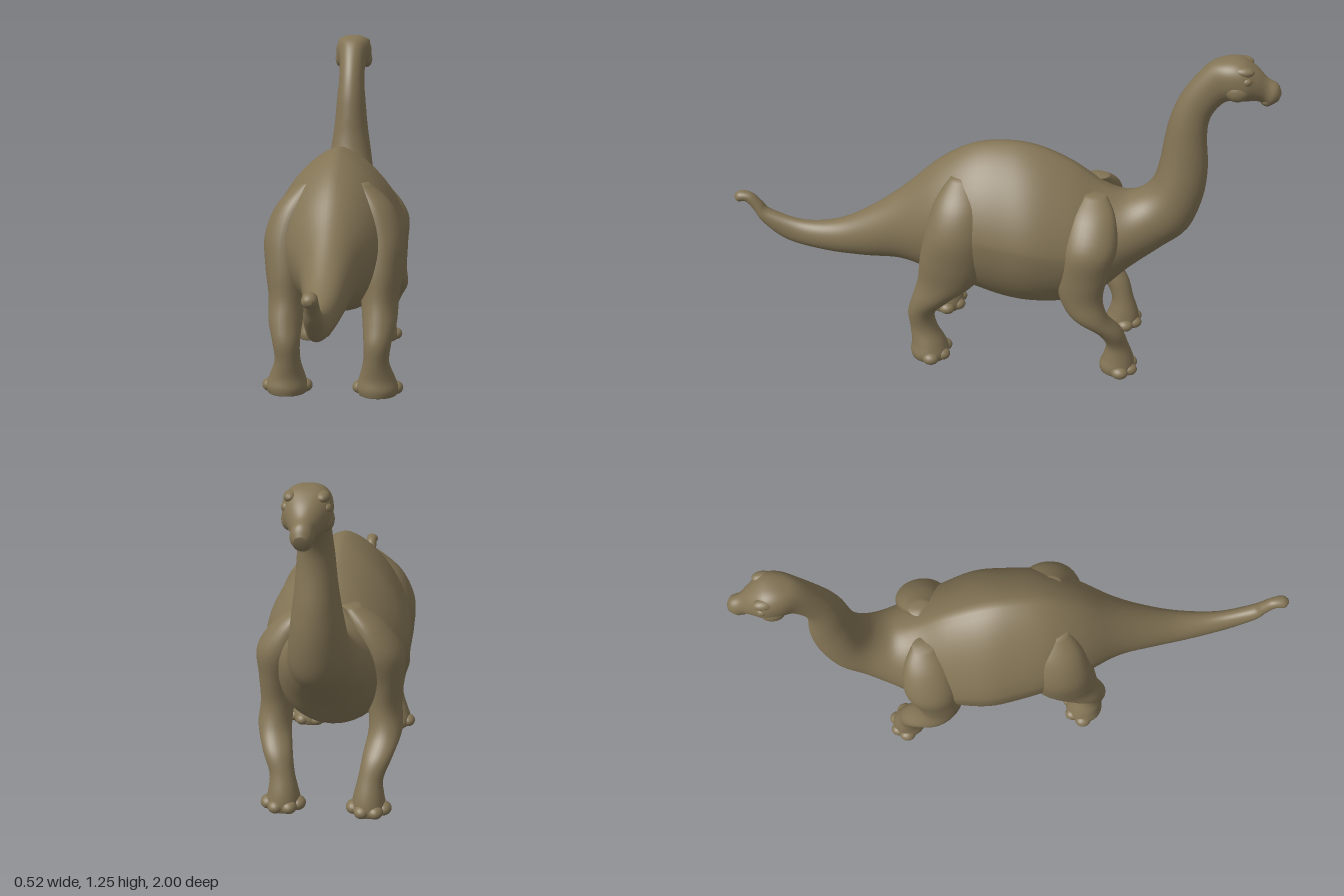
import * as THREE from 'three';

const hide = new THREE.MeshStandardMaterial({ color: 0x837455 });
hide.name = 'olive brown hide';

// Catmull-Rom blend of two neighbouring stations (arrays of numbers)
function sample(stations, t) {
  const last = stations.length - 1;
  const i = Math.min(Math.floor(t), last - 1), f = t - i;
  const at = k => stations[Math.max(0, Math.min(last, k))];
  const [a, b, c, d] = [at(i - 1), at(i), at(i + 1), at(i + 2)];
  return b.map((_, k) => b[k] + 0.5 * f * (c[k] - a[k]
    + f * (2 * a[k] - 5 * b[k] + 4 * c[k] - d[k] + f * (3 * (b[k] - c[k]) + d[k] - a[k]))));
}

// Smooth closed skin through the stations; point(station, cos, sin) places a ring vertex
function loft(stations, point, sides, steps) {
  const pos = [], index = [], rings = (stations.length - 1) * steps;
  for (let r = 0; r <= rings; r++) {
    const s = sample(stations, r / steps);
    for (let j = 0; j < sides; j++) {
      const a = (j / sides) * Math.PI * 2;
      pos.push(...point(s, Math.cos(a), Math.sin(a)));
    }
  }
  for (let r = 0; r < rings; r++) {
    for (let j = 0; j < sides; j++) {
      const k = (j + 1) % sides, p = r * sides, q = p + sides;
      index.push(p + j, q + j, p + k, p + k, q + j, q + k);
    }
  }
  const end = rings * sides, centre = pos.length / 3;
  pos.push(...point(stations[0], 0, 0), ...point(stations[stations.length - 1], 0, 0));
  for (let j = 0; j < sides; j++) {
    const k = (j + 1) % sides;
    index.push(centre, j, k, centre + 1, end + k, end + j);
  }
  const g = new THREE.BufferGeometry();
  g.setAttribute('position', new THREE.Float32BufferAttribute(pos, 3));
  g.setIndex(index);
  g.computeVertexNormals();
  return g;
}

// Tail to muzzle: top z, top y, bottom z, bottom y, half width, roundness of the upper half
const tailStations = [
  [0.998, 0.546, 0.998, 0.53, 0.01, 2],
  [0.975, 0.56, 0.985, 0.516, 0.024, 2],
  [0.93, 0.553, 0.955, 0.518, 0.022, 2],
  [0.895, 0.52, 0.925, 0.482, 0.024, 2],
  [0.86, 0.485, 0.89, 0.43, 0.03, 2],
  [0.73, 0.45, 0.8, 0.362, 0.036, 2],
  [0.59, 0.47, 0.64, 0.332, 0.055, 2],
  [0.46, 0.54, 0.48, 0.328, 0.078, 2],
  [0.33, 0.64, 0.34, 0.335, 0.11, 1.9],
];
const trunkStations = [
  [0.19, 0.77, 0.2, 0.305, 0.175, 1.7],
  [0.06, 0.845, 0.06, 0.27, 0.23, 1.55],
  [-0.07, 0.865, -0.07, 0.235, 0.252, 1.5],
  [-0.18, 0.85, -0.18, 0.228, 0.26, 1.5],
  [-0.3, 0.8, -0.3, 0.24, 0.235, 1.5],
  [-0.41, 0.725, -0.42, 0.29, 0.195, 1.6],
  [-0.49, 0.69, -0.53, 0.4, 0.15, 1.9],
];
const neckStations = [
  [-0.55, 0.71, -0.64, 0.492, 0.115, 2],
  [-0.59, 0.76, -0.73, 0.575, 0.1, 2],
  [-0.61, 0.84, -0.772, 0.7, 0.085, 2],
  [-0.62, 0.93, -0.78, 0.82, 0.07, 2],
  [-0.635, 1.02, -0.766, 0.95, 0.06, 2],
  [-0.67, 1.115, -0.772, 1.025, 0.053, 2],
];
const headStations = [
  [-0.74, 1.215, -0.805, 1.08, 0.056, 2.2],
  [-0.8, 1.247, -0.84, 1.1, 0.072, 2.5],
  [-0.86, 1.25, -0.88, 1.1, 0.074, 2.5],
  [-0.91, 1.222, -0.915, 1.102, 0.054, 2.2],
  [-0.95, 1.185, -0.94, 1.095, 0.036, 2],
  [-0.985, 1.166, -0.962, 1.086, 0.034, 2],
  [-1.0, 1.135, -0.985, 1.1, 0.02, 2],
];

function bodyPoint([zt, yt, zb, yb, w, p], c, s) {
  const e = s > 0 ? 2 / p : 1;
  const x = w * Math.sign(c) * Math.abs(c) ** e;
  const h = (1 + Math.sign(s) * Math.abs(s) ** e) / 2;
  return [x, yb + (yt - yb) * h, zb + (zt - zb) * h];
}

// Leg stations from sole to hip: y, x, z, half width, half depth
const hindLeg = [
  [0.005, 0.165, 0.21, 0.07, 0.07],
  [0.03, 0.165, 0.21, 0.076, 0.074],
  [0.07, 0.163, 0.215, 0.064, 0.064],
  [0.13, 0.16, 0.233, 0.047, 0.052],
  [0.2, 0.164, 0.238, 0.05, 0.052],
  [0.27, 0.17, 0.197, 0.062, 0.074],
  [0.35, 0.168, 0.14, 0.07, 0.108],
  [0.45, 0.17, 0.115, 0.082, 0.122],
  [0.57, 0.17, 0.1, 0.085, 0.112],
  [0.68, 0.14, 0.09, 0.068, 0.09],
  [0.76, 0.09, 0.09, 0.03, 0.04],
];
const foreLeg = [
  [0.005, 0.15, -0.51, 0.056, 0.062],
  [0.03, 0.15, -0.51, 0.06, 0.066],
  [0.07, 0.15, -0.513, 0.053, 0.056],
  [0.13, 0.155, -0.505, 0.044, 0.042],
  [0.2, 0.175, -0.472, 0.052, 0.05],
  [0.27, 0.195, -0.4, 0.059, 0.068],
  [0.35, 0.19, -0.365, 0.06, 0.08],
  [0.45, 0.19, -0.37, 0.064, 0.09],
  [0.56, 0.172, -0.385, 0.082, 0.1],
  [0.66, 0.125, -0.39, 0.06, 0.08],
  [0.72, 0.07, -0.39, 0.03, 0.04],
];

const ball = new THREE.SphereGeometry(1, 20, 14);

function add(parent, name, geometry) {
  const mesh = new THREE.Mesh(geometry, hide);
  mesh.name = name;
  parent.add(mesh);
  return mesh;
}

function addBall(parent, name, position, scale) {
  const mesh = add(parent, name, ball);
  mesh.position.set(...position);
  mesh.scale.set(...scale);
}

function makeLeg(name, stations, side) {
  const leg = new THREE.Group();
  leg.name = name;
  add(leg, 'limb', loft(stations,
    ([y, x, z, rx, rz], c, s) => [side * x + rx * c, y, z + rz * s], 28, 5));
  // Toes fanned around the front of the foot
  const [, x, z, rx, rz] = stations[0];
  for (const a of [-1.35, -0.5, 0.4, 1.3]) {
    addBall(leg, 'toe',
      [side * x + Math.sin(a) * rx * 0.95, 0.024, z - Math.cos(a) * rz * 0.8],
      [0.028, 0.024, 0.032]);
  }
  return leg;
}

export function createModel() {
  const model = new THREE.Group();
  model.name = 'longNeckedDinosaur';

  // Tail, trunk, neck and head form one continuous skin
  const spine = [...tailStations, ...trunkStations, ...neckStations, ...headStations];
  add(model, 'body', loft(spine, bodyPoint, 48, 5));

  for (const side of [1, -1]) {
    const label = side > 0 ? 'left' : 'right';
    model.add(makeLeg(label + 'HindLeg', hindLeg, side));
    model.add(makeLeg(label + 'ForeLeg', foreLeg, side));
    // Brow, eye and cheek swellings
    addBall(model, label + 'Brow', [side * 0.047, 1.222, -0.865], [0.022, 0.018, 0.035]);
    addBall(model, label + 'Eye', [side * 0.058, 1.192, -0.875], [0.017, 0.016, 0.02]);
    addBall(model, label + 'Cheek', [side * 0.055, 1.15, -0.85], [0.024, 0.035, 0.04]);
  }
  // Rounded lower lip
  addBall(model, 'lowerLip', [0, 1.105, -0.955], [0.028, 0.022, 0.024]);
  return model;
}
